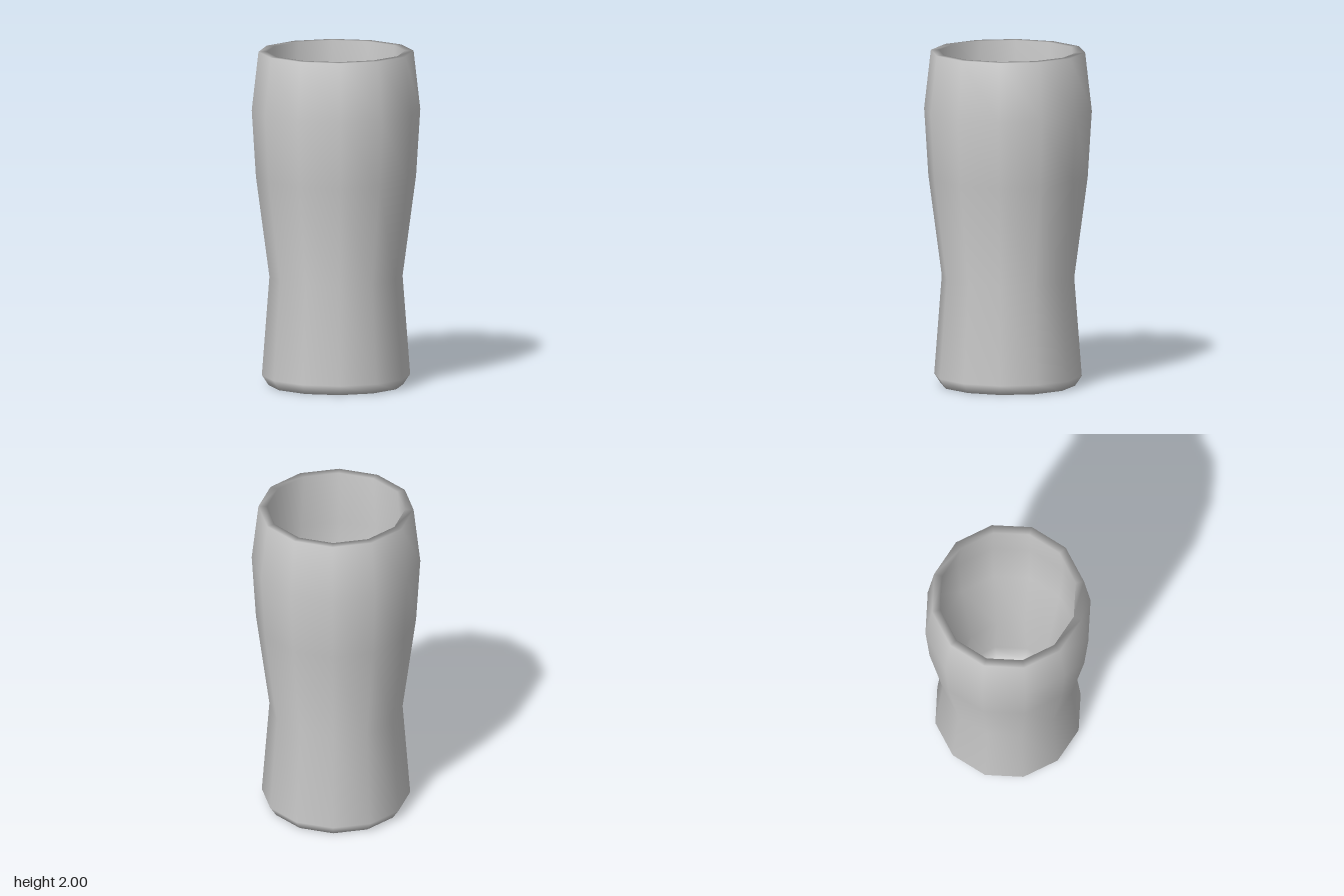
import * as THREE from 'three';

export function createModel() {
  const group = new THREE.Group();
  group.name = 'drinkingGlass';

  // Closed wall profile as [radius, height]: underside, outer wall, rim, inner wall, inner floor
  const outer = [[0, 0], [0.4, 0], [0.44, 0.06], [0.395, 0.65], [0.475, 1.25], [0.5, 1.65], [0.46, 2]];
  const inner = [[0.41, 2], [0.44, 1.65], [0.41, 1.25], [0.325, 0.65], [0.37, 0.13], [0.32, 0.08], [0, 0.08]];
  const profile = [...outer, ...inner].map(([r, y]) => new THREE.Vector2(r, y));

  // Twelve-sided body with smooth normals
  const glass = new THREE.Mesh(
    new THREE.LatheGeometry(profile, 12),
    new THREE.MeshStandardMaterial({ color: 0xcccccc })
  );
  glass.name = 'glassBody';
  group.add(glass);
  return group;
}
